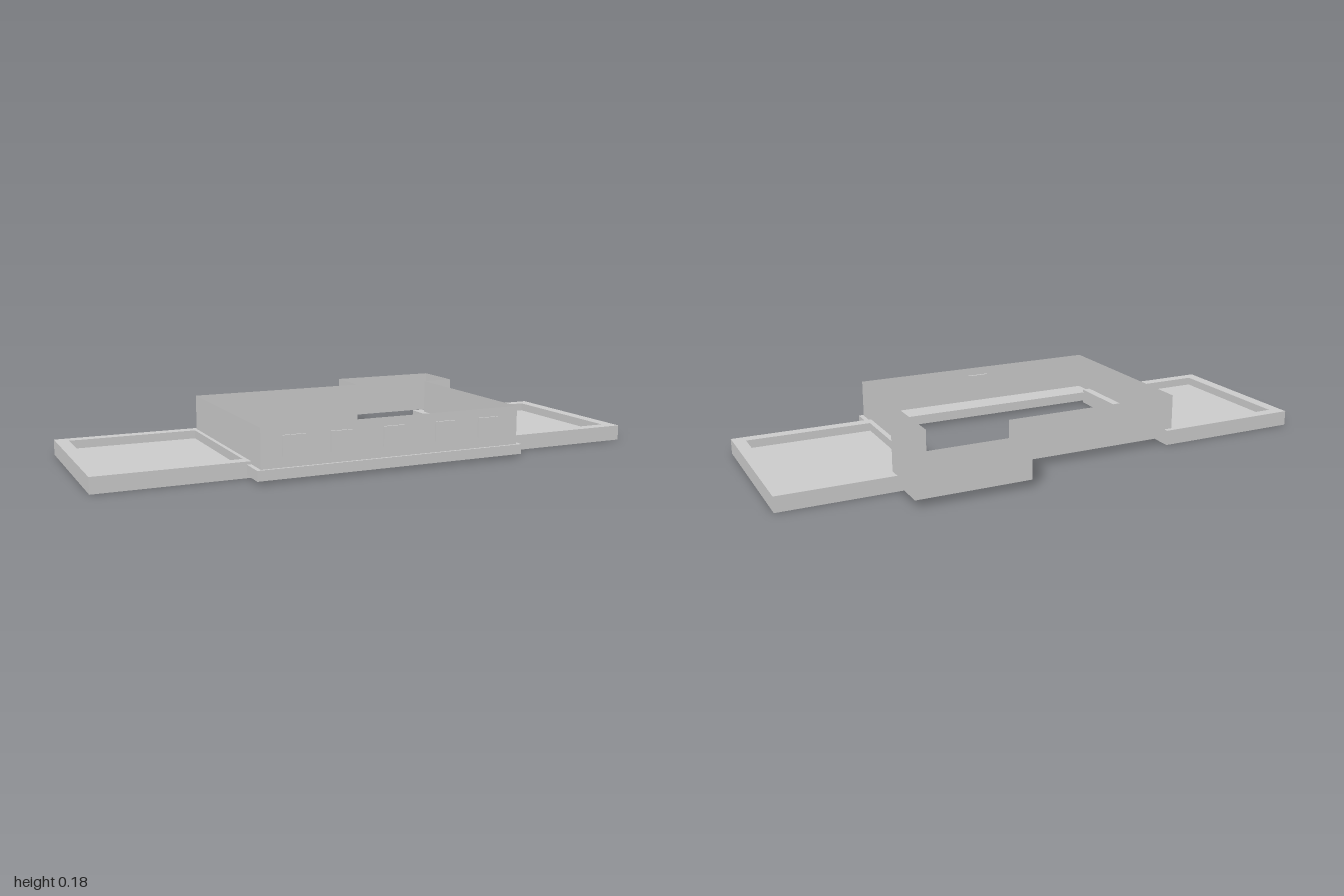
import * as THREE from 'three';

const material = new THREE.MeshStandardMaterial({ color: 0xcccccc, flatShading: true });
const thinMaterial = new THREE.MeshStandardMaterial({ color: 0xcccccc, flatShading: true, side: THREE.DoubleSide });

// Box given by its minimum and maximum corners
function box(name, [x0, y0, z0], [x1, y1, z1]) {
  const mesh = new THREE.Mesh(new THREE.BoxGeometry(x1 - x0, y1 - y0, z1 - z0), material);
  mesh.position.set((x0 + x1) / 2, (y0 + y1) / 2, (z0 + z1) / 2);
  mesh.name = name;
  return mesh;
}

// Flat platform with a raised rim around a shallow tray
function platform(name, side) {
  const group = new THREE.Group();
  group.name = name;
  const rect = (P, x0, z0, x1, z1) => {
    const p = new P();
    p.moveTo(x0, -z1);
    p.lineTo(x1, -z1);
    p.lineTo(x1, -z0);
    p.lineTo(x0, -z0);
    p.closePath();
    return p;
  };
  const outline = rect(THREE.Shape, -0.275, -0.31, 0.275, 0.31);
  outline.holes.push(rect(THREE.Path, -0.23, -0.267, 0.23, 0.267));
  const rim = new THREE.Mesh(
    new THREE.ExtrudeGeometry(outline, { depth: 0.03, bevelEnabled: false }).rotateX(-Math.PI / 2),
    material
  );
  rim.position.y = 0.025;
  rim.name = 'platformRim';
  group.add(rim, box('platformFloor', [-0.275, 0, -0.31], [0.275, 0.025, 0.31]));
  group.position.set(side * 0.724, 0, 0.029);
  return group;
}

// Thin upright walls following a closed plan outline
function walls(plan, y0, y1) {
  const group = new THREE.Group();
  group.name = 'houseWalls';
  plan.forEach(([xa, za], i) => {
    const [xb, zb] = plan[(i + 1) % plan.length];
    const wall = new THREE.Mesh(
      new THREE.PlaneGeometry(Math.hypot(xb - xa, zb - za), y1 - y0),
      thinMaterial
    );
    wall.position.set((xa + xb) / 2, (y0 + y1) / 2, (za + zb) / 2);
    wall.rotation.y = -Math.atan2(zb - za, xb - xa);
    wall.name = 'wall';
    group.add(wall);
  });
  return group;
}

export function createModel() {
  const model = new THREE.Group();
  model.name = 'house';

  model.add(platform('leftPlatform', 1), platform('rightPlatform', -1));
  model.add(box('frontTerrace', [-0.495, 0.01, 0.332], [0.492, 0.045, 0.437]));

  // Main room with a smaller wing at the back left corner
  model.add(walls([
    [-0.48, 0.428], [0.475, 0.428], [0.475, -0.235], [0.595, -0.235],
    [0.595, -0.437], [0.185, -0.437], [0.185, -0.262], [-0.48, -0.262],
  ], 0.025, 0.181));

  // Window panels; the middle one passes through the wall
  [-0.368, -0.2, -0.009, 0.187, 0.355].forEach((x, i) => {
    const back = i === 2 ? 0.42 : 0.4285;
    model.add(box('window', [x - 0.04, 0.082, back], [x + 0.04, 0.151, 0.435]));
  });

  return model;
}
